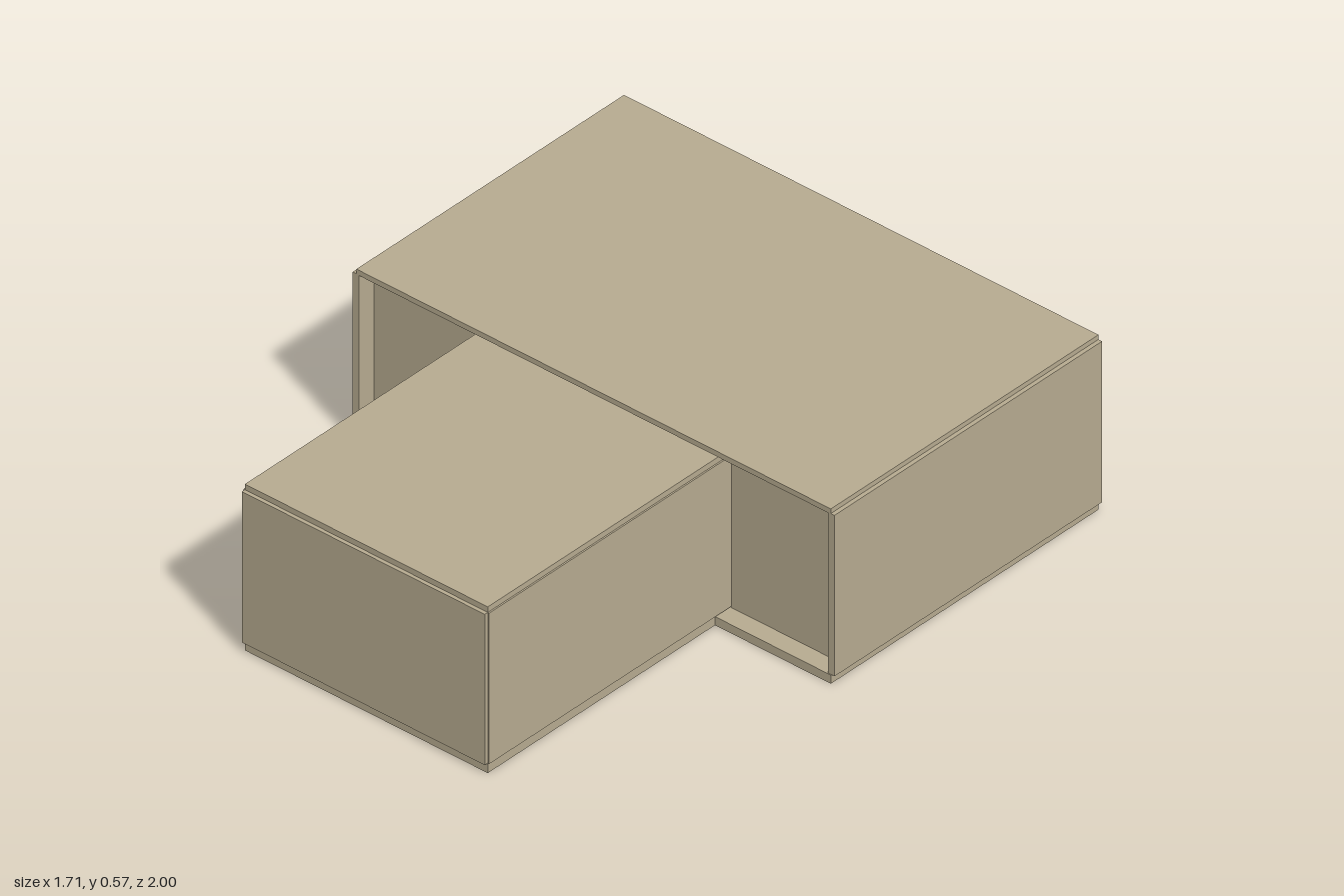
import * as THREE from 'three';

export function createModel() {
  const group = new THREE.Group();
  const board = new THREE.MeshStandardMaterial({ color: 0xb8ac91 });
  board.name = 'tan board';

  // Panel given by its limits on each axis
  function panel(name, x0, x1, y0, y1, z0, z1) {
    const mesh = new THREE.Mesh(new THREE.BoxGeometry(x1 - x0, y1 - y0, z1 - z0), board);
    mesh.position.set((x0 + x1) / 2, (y0 + y1) / 2, (z0 + z1) / 2);
    mesh.name = name;
    group.add(mesh);
  }
  // Panel and its mirror image across x = 0
  function pair(name, x0, x1, ...rest) {
    panel(name + 'Left', x0, x1, ...rest);
    panel(name + 'Right', -x1, -x0, ...rest);
  }

  // Main hall, open at the back
  panel('hallFloor', -0.84, 0.84, 0, 0.028, -1, 0.075);
  panel('hallRoof', -0.84, 0.84, 0.55, 0.567, -1, 0.075);
  pair('hallWall', 0.83, 0.853, 0.03, 0.552, -1, 0.075);
  // Recessed front walls either side of the wide opening
  pair('hallFrontWall', 0.4, 0.83, 0.028, 0.55, -0.005, 0.015);

  // Front wing
  panel('wingFloor', -0.43, 0.43, 0, 0.029, 0.075, 0.988);
  panel('wingRoof', -0.43, 0.43, 0.521, 0.539, 0.015, 0.988);
  pair('wingWall', 0.418, 0.435, 0.032, 0.521, 0.015, 0.988);
  panel('wingFrontWall', -0.43, 0.43, 0.032, 0.521, 0.982, 1);

  // Small spacers between the wing roof and the hall roof
  for (const x of [-0.4, 0, 0.4]) {
    panel('roofSpacer', x - 0.025, x + 0.025, 0.538, 0.551, 0.015, 0.06);
  }

  // Furniture in the hall: a cabinet and a small stool
  panel('cabinet', 0.46, 0.57, 0.028, 0.17, -0.2, -0.13);
  panel('stoolSeat', 0.14, 0.21, 0.07, 0.085, -0.2, -0.13);
  for (const x of [0.15, 0.2]) {
    for (const z of [-0.19, -0.14]) {
      panel('stoolLeg', x - 0.008, x + 0.008, 0.028, 0.07, z - 0.008, z + 0.008);
    }
  }
  return group;
}
